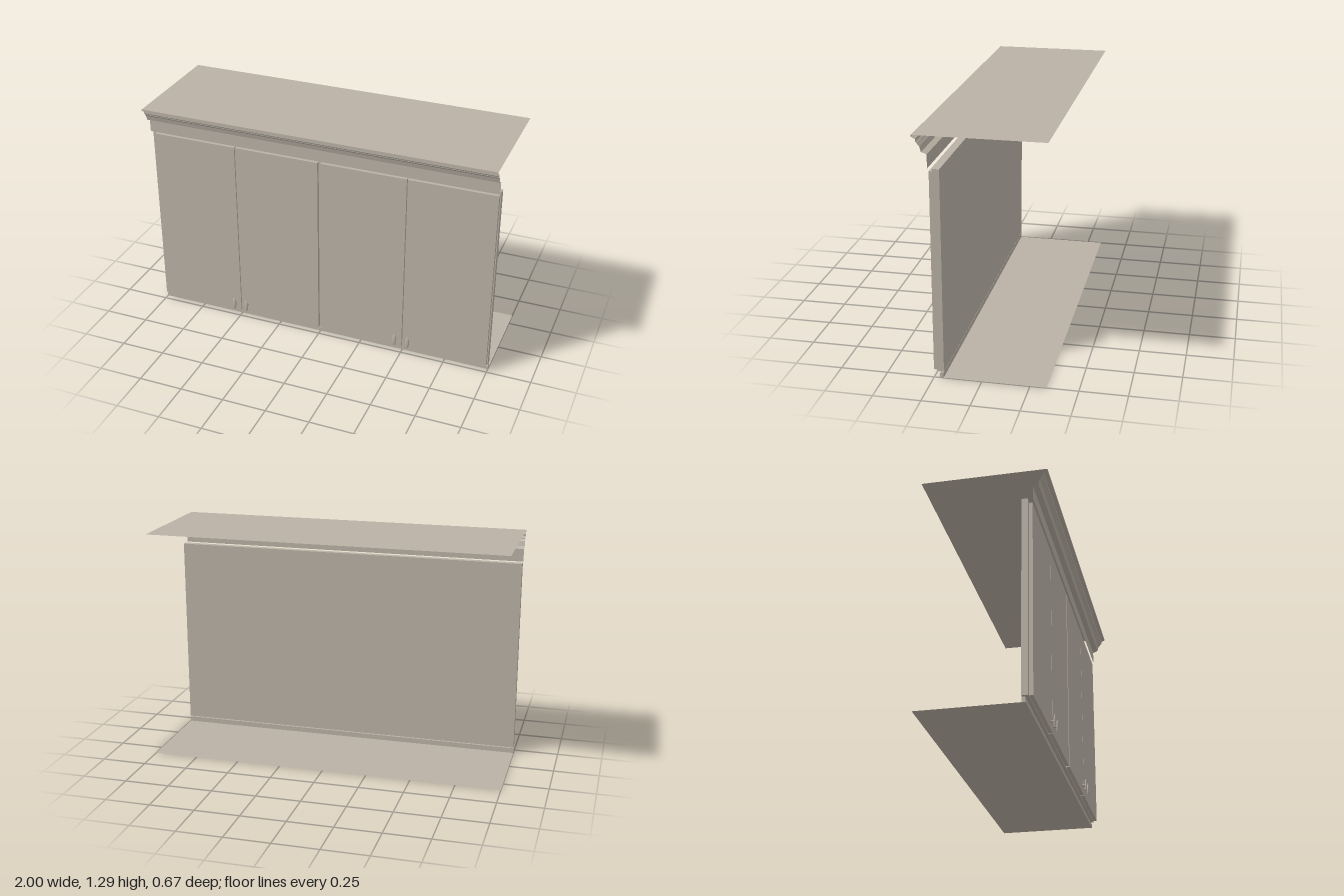
import * as THREE from 'three';

export function createModel() {
  const group = new THREE.Group();
  const paint = new THREE.MeshStandardMaterial({ color: 0xbab2a6, side: THREE.DoubleSide });
  paint.name = 'warm grey paint';

  const add = (name, geometry, x = 0, y = 0, z = 0, parent = group) => {
    const mesh = new THREE.Mesh(geometry, paint);
    mesh.name = name;
    mesh.position.set(x, y, z);
    parent.add(mesh);
    return mesh;
  };
  // Box given by its limits on each axis
  const box = (name, x0, x1, y0, y1, z0, z1) =>
    add(name, new THREE.BoxGeometry(x1 - x0, y1 - y0, z1 - z0),
      (x0 + x1) / 2, (y0 + y1) / 2, (z0 + z1) / 2);
  // Horizontal sheet across the full width
  const sheet = (name, y, z0, z1) =>
    add(name, new THREE.PlaneGeometry(2, z1 - z0).rotateX(-Math.PI / 2), 0, y, (z0 + z1) / 2);

  // Thin top and bottom boards
  sheet('topBoard', 1.29, -0.335, 0.335);
  sheet('bottomBoard', 0.001, -0.335, 0.2);

  // Face frame behind the doors
  box('faceFrame', -1, 1, 0.036, 1.125, 0.198, 0.232);

  // Bottom rail with a chamfered front edge
  const rail = new THREE.Shape([[0.2, 0], [0.22, 0], [0.22, 0.023], [0.213, 0.03], [0.2, 0.03]]
    .map(([z, y]) => new THREE.Vector2(-z, y)));
  add('bottomRail', new THREE.ExtrudeGeometry(rail, { depth: 2, bevelEnabled: false })
    .rotateY(Math.PI / 2), -1);

  // Four flat doors
  for (const [x0, x1] of [[-0.978, -0.491], [-0.486, 0], [0.017, 0.503], [0.508, 0.995]])
    box('door', x0, x1, 0.042, 1.111, 0.232, 0.252);

  // Stepped crown moulding, open at both ends: profile points are z, y
  const profile = [
    [0.335, 1.29], [0.335, 1.28], [0.314, 1.27], [0.314, 1.257], [0.304, 1.248],
    [0.304, 1.244], [0.294, 1.234], [0.286, 1.207], [0.258, 1.197], [0.258, 1.125]];
  const positions = [];
  for (let i = 0; i < profile.length - 1; i++) {
    const [za, ya] = profile[i], [zb, yb] = profile[i + 1];
    positions.push(-1, ya, za, -1, yb, zb, 1, yb, zb, -1, ya, za, 1, yb, zb, 1, ya, za);
  }
  const crown = new THREE.BufferGeometry();
  crown.setAttribute('position', new THREE.Float32BufferAttribute(positions, 3));
  crown.computeVertexNormals();
  add('crownMoulding', crown);

  // Oval door knobs on short stems
  for (const x of [-0.525, -0.449, 0.466, 0.543]) {
    const handle = new THREE.Group();
    handle.name = 'handle';
    handle.position.set(x, 0.092, 0);
    group.add(handle);
    add('grip', new THREE.SphereGeometry(1, 20, 12).scale(0.011, 0.037, 0.006), 0, 0, 0.271, handle);
    add('stem', new THREE.CylinderGeometry(0.005, 0.008, 0.018, 12).rotateX(Math.PI / 2), 0, 0, 0.26, handle);
  }
  return group;
}
